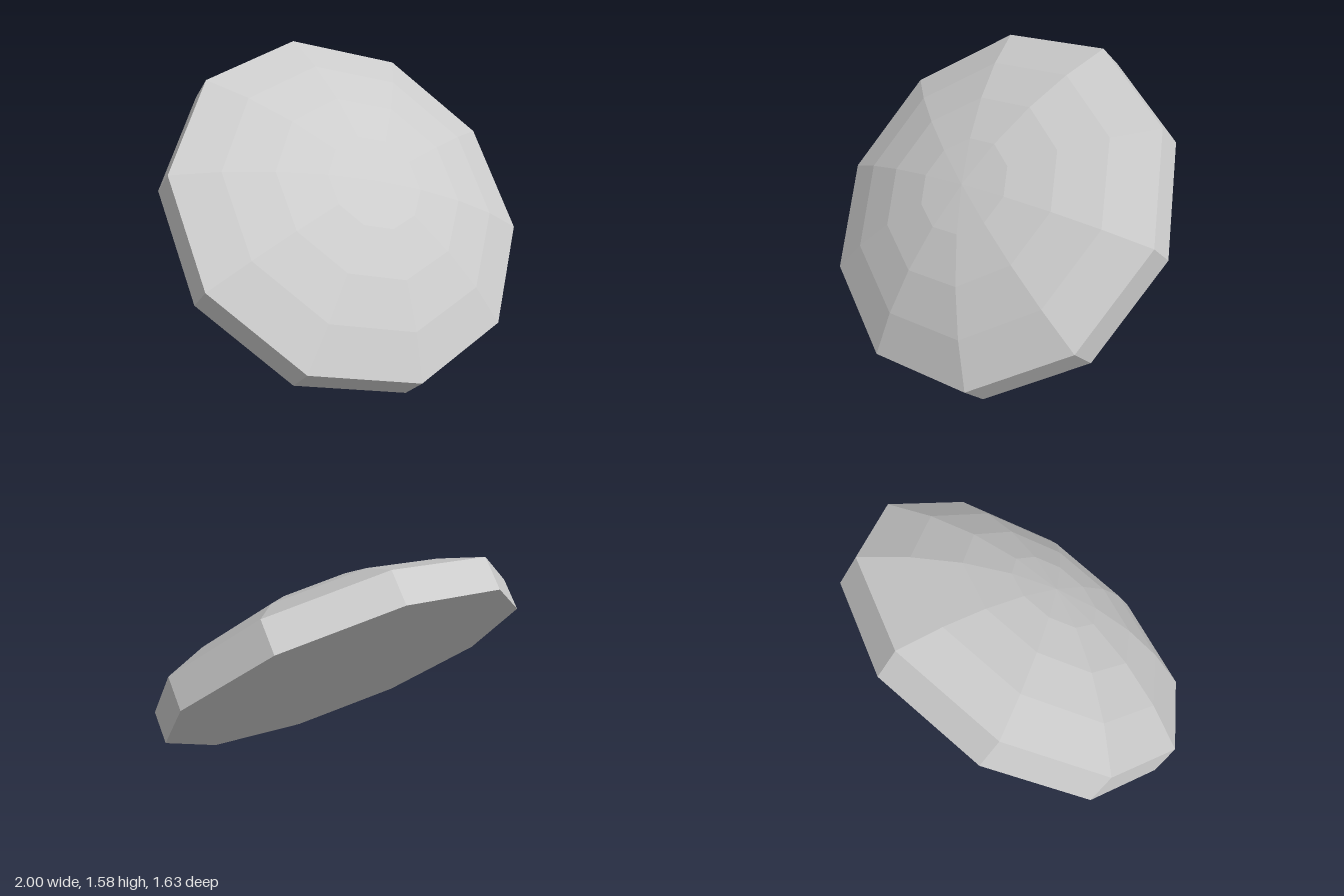
import * as THREE from 'three';

const SIDES = 10;
const RADIUS = 1.046;
const THICKNESS = 0.184;
const RINGS = 4;

export function createModel() {
  const gray = new THREE.MeshStandardMaterial({ color: 0xcccccc, flatShading: true });
  gray.name = 'light gray';

  const model = new THREE.Group();
  model.name = 'domedDisc';

  const addLathe = (name, points) => {
    const mesh = new THREE.Mesh(new THREE.LatheGeometry(points, SIDES), gray);
    mesh.name = name;
    model.add(mesh);
  };

  // Ten-sided slab: flat underside and rim wall
  addLathe('baseSlab', [
    new THREE.Vector2(0, -THICKNESS),
    new THREE.Vector2(RADIUS, -THICKNESS),
    new THREE.Vector2(RADIUS, 0),
  ]);

  // Shallow dome: a 30 degree spherical cap in even angular steps
  const capAngle = Math.PI / 6;
  const sphere = RADIUS / Math.sin(capAngle);
  const cap = [];
  for (let i = 0; i <= RINGS; i++) {
    const a = capAngle * (1 - i / RINGS);
    cap.push(new THREE.Vector2(sphere * Math.sin(a), sphere * (Math.cos(a) - Math.cos(capAngle))));
  }
  addLathe('dome', cap);

  // Lean the disc so the dome faces up and forward
  const front = new THREE.Vector3(0, -0.694, 0.72).normalize();
  const up = new THREE.Vector3(0.109, 0.715, 0.69);
  const side = new THREE.Vector3().crossVectors(up, front).normalize();
  up.crossVectors(front, side);
  model.quaternion.setFromRotationMatrix(new THREE.Matrix4().makeBasis(side, up, front));
  model.position.set(0.01, 0.86, 0.062);

  return model;
}
